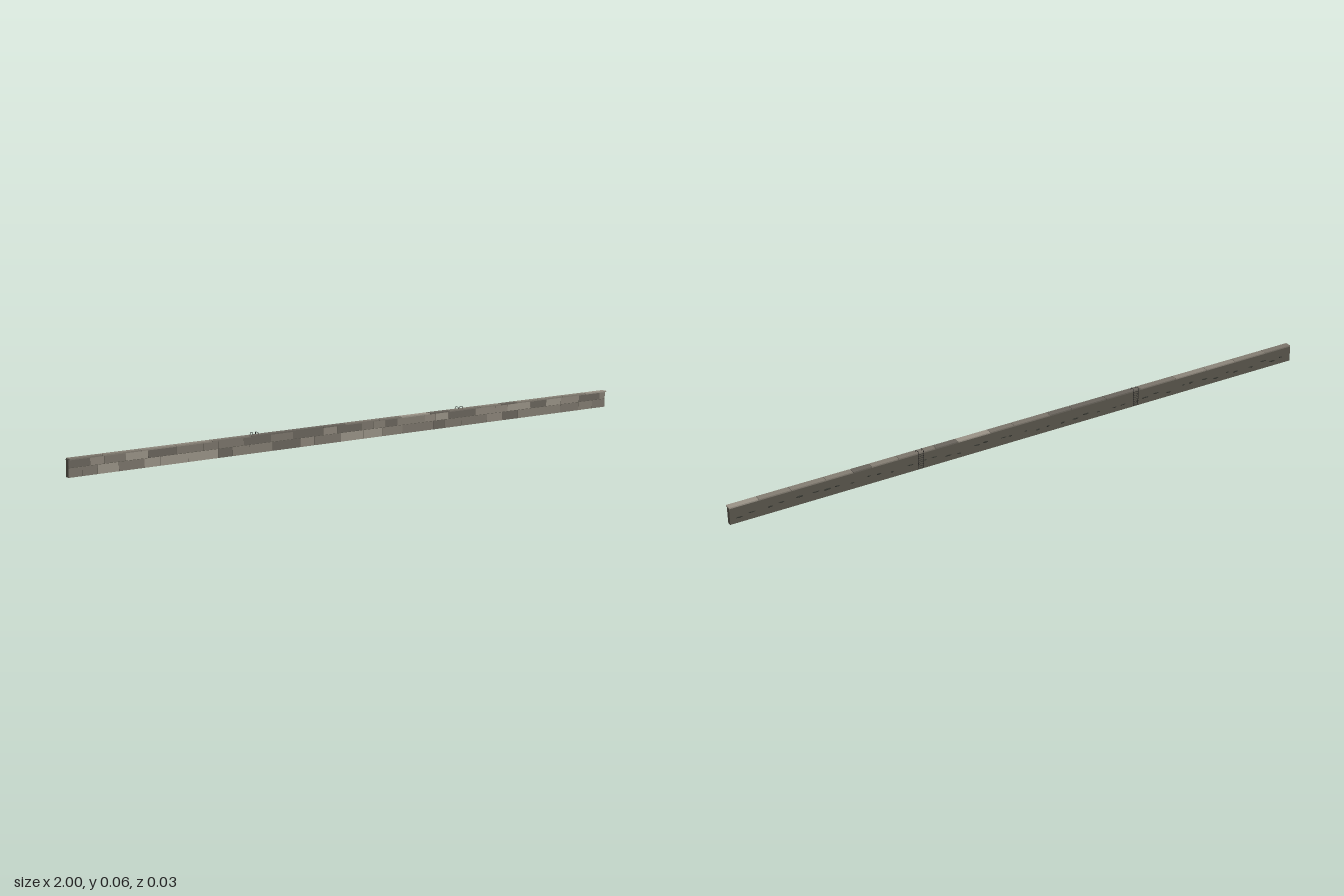
import * as THREE from 'three';

const mat = (color) => new THREE.MeshStandardMaterial({ color, flatShading: true });
const stones = [0x8c857a, 0x7b756b, 0x9a9387, 0x6a655d, 0x847e73].map(mat);
const coreMat = mat(0x5a574d);
const weedMat = mat(0x34352f);
const ironMat = mat(0x2b2a28);

// Small seeded generator so the masonry is repeatable
function seeded(seed) {
  return () => {
    seed = (seed * 16807) % 2147483647;
    return seed / 2147483647;
  };
}

function box(parent, name, [x0, x1], [y0, y1], [z0, z1], material) {
  const mesh = new THREE.Mesh(new THREE.BoxGeometry(x1 - x0, y1 - y0, z1 - z0), material);
  mesh.position.set((x0 + x1) / 2, (y0 + y1) / 2, (z0 + z1) / 2);
  mesh.name = name;
  parent.add(mesh);
  return mesh;
}

// A row of stones of varying length, separated by thin joints
function course(name, y, z, minLength, maxLength, rand) {
  const group = new THREE.Group();
  group.name = name;
  const joint = 0.0012;
  let x = -1;
  while (x < 1) {
    let end = x + minLength + (maxLength - minLength) * rand();
    if (end > 1 - minLength / 2) end = 1;
    const x1 = end === 1 ? 1 : end - joint;
    const front = z[1] - rand() * 0.0005;
    box(group, 'stone', [x, x1], y, [z[0], front], stones[Math.floor(rand() * stones.length)]);
    x = end;
  }
  return group;
}

// Ladder on the back, with rails hooked over the top of the wall
function ladder(x) {
  const group = new THREE.Group();
  group.name = 'ladder';
  const half = 0.009, back = -0.0108, r = 0.0008;
  const path = new THREE.CurvePath();
  const points = [[0.002, back], [0.0595, back], [0.0605, -0.0098], [0.0605, 0.003], [0.054, 0.0035]]
    .map(([y, z]) => new THREE.Vector3(0, y, z));
  for (let i = 1; i < points.length; i++) path.add(new THREE.LineCurve3(points[i - 1], points[i]));
  const railGeometry = new THREE.TubeGeometry(path, 48, r, 6);
  for (const side of [-1, 1]) {
    const rail = new THREE.Mesh(railGeometry, ironMat);
    rail.name = 'ladderRail';
    rail.position.x = side * half;
    group.add(rail);
    // Brackets fixing the rail to the wall
    for (const y of [0.012, 0.042]) {
      box(group, 'ladderBracket', [side * half - r, side * half + r], [y, y + 0.0015], [back, -0.009], ironMat);
    }
  }
  const rungGeometry = new THREE.CylinderGeometry(0.0006, 0.0006, half * 2, 6);
  rungGeometry.rotateZ(Math.PI / 2);
  for (let i = 0; i < 8; i++) {
    const rung = new THREE.Mesh(rungGeometry, ironMat);
    rung.name = 'ladderRung';
    rung.position.set(0, 0.005 + i * 0.0065, back);
    group.add(rung);
  }
  group.position.x = x;
  return group;
}

export function createModel() {
  const model = new THREE.Group();
  model.name = 'seaWall';
  const rand = seeded(4217);

  // Solid wall behind the facing stones
  box(model, 'wallCore', [-1, 1], [0, 0.0505], [-0.0095, 0.0045], coreMat);

  // Two facing courses and the overhanging coping
  model.add(course('lowerCourse', [0, 0.0265], [0.004, 0.0058], 0.04, 0.11, rand));
  model.add(course('upperCourse', [0.0277, 0.0495], [0.004, 0.0058], 0.04, 0.11, rand));
  model.add(course('coping', [0.0505, 0.0545], [-0.0085, 0.0128], 0.06, 0.14, rand));

  // Dark flattened clumps scattered along the back
  const clumps = new THREE.Group();
  clumps.name = 'backClumps';
  const clumpGeometry = new THREE.IcosahedronGeometry(1, 1);
  for (let i = 0; i < 44; i++) {
    const clump = new THREE.Mesh(clumpGeometry, weedMat);
    clump.name = 'clump';
    clump.position.set(-0.97 + i * 0.045 + (rand() - 0.5) * 0.025, 0.014 + rand() * 0.014, -0.0095);
    clump.scale.set(0.005 + rand() * 0.008, 0.0015 + rand() * 0.0015, 0.001 + rand() * 0.0018);
    clumps.add(clump);
  }
  model.add(clumps);

  for (const side of [-1, 1]) model.add(ladder(side * 0.385));
  return model;
}
